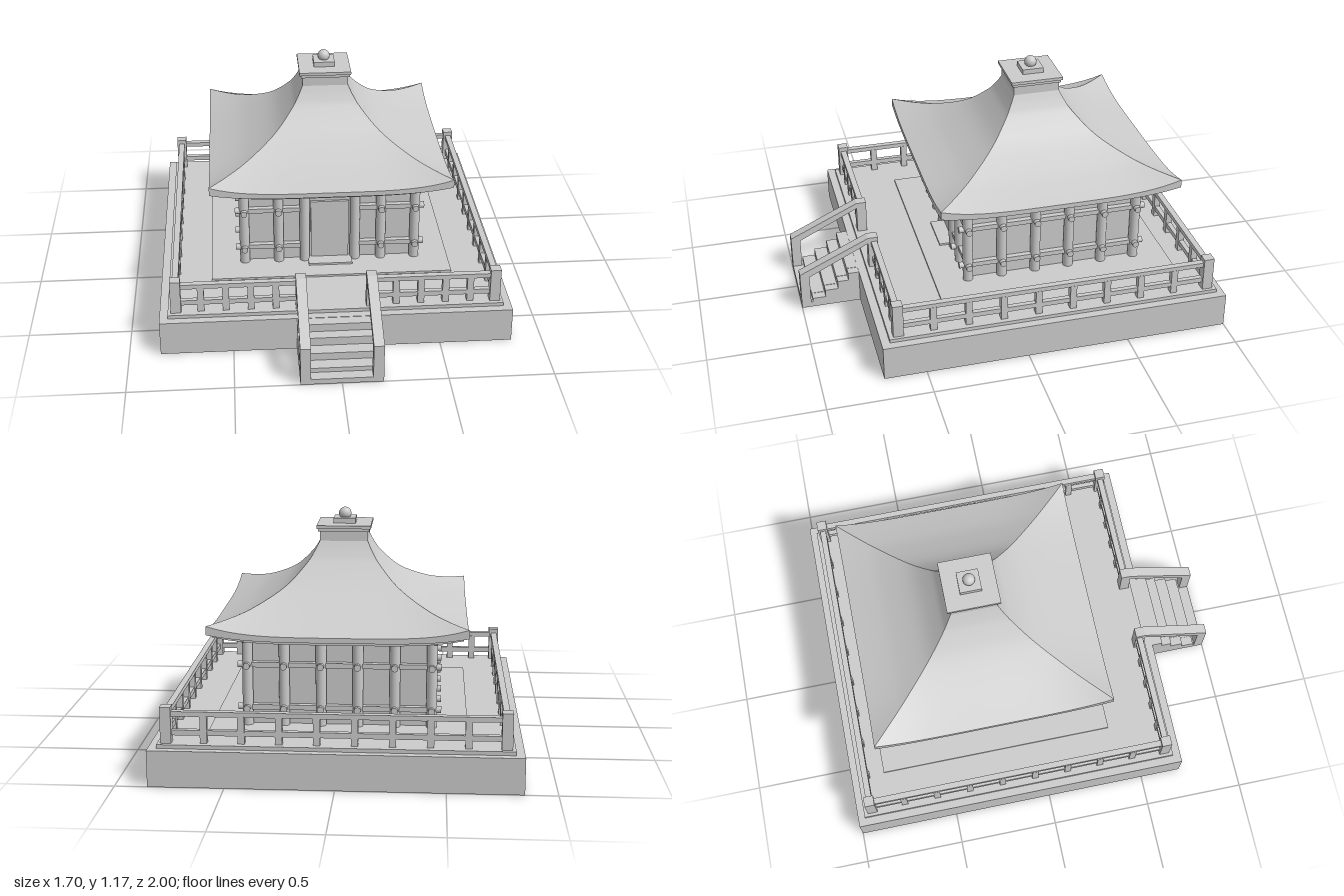
import * as THREE from 'three';
import { toCreasedNormals } from 'three/addons/utils/BufferGeometryUtils.js';

const grey = new THREE.MeshStandardMaterial({ color: 0xcccccc });

function add(parent, name, geometry, x = 0, y = 0, z = 0) {
  const mesh = new THREE.Mesh(geometry, grey);
  mesh.name = name;
  mesh.position.set(x, y, z);
  parent.add(mesh);
  return mesh;
}

// Box given by its extents along each axis
function block(parent, name, x0, x1, y0, y1, z0, z1) {
  return add(parent, name, new THREE.BoxGeometry(x1 - x0, y1 - y0, z1 - z0),
    (x0 + x1) / 2, (y0 + y1) / 2, (z0 + z1) / 2);
}

// Square rings [half width, height, corner lift] joined into one skin
function squareLoft(rings, perSide = 24) {
  const pos = [], index = [], n = perSide * 4;
  for (const [h, y, lift] of rings) {
    for (let i = 0; i < n; i++) {
      const s = (i % perSide) / perSide * 2 - 1;
      let x = s * h, z = h;
      for (let k = Math.floor(i / perSide); k > 0; k--) [x, z] = [z, -x];
      pos.push(x, y + lift * Math.pow(Math.abs(s), 4), z);
    }
  }
  for (let r = 0; r < rings.length - 1; r++) {
    for (let i = 0; i < n; i++) {
      const j = (i + 1) % n, a = r * n + i, b = r * n + j;
      index.push(a, a + n, b + n, a, b + n, b);
    }
  }
  const g = new THREE.BufferGeometry();
  g.setAttribute('position', new THREE.Float32BufferAttribute(pos, 3));
  g.setIndex(index);
  return toCreasedNormals(g, 0.5);
}

function roof() {
  const g = new THREE.Group();
  g.name = 'roof';
  // Smooth sweep from the neck to the upturned eave
  const sweep = new THREE.SplineCurve([[0.115, 1.02], [0.14, 0.97], [0.175, 0.918], [0.265, 0.826],
    [0.4, 0.742], [0.5, 0.697], [0.595, 0.662]].map(p => new THREE.Vector2(...p)));
  const rings = sweep.getPoints(28).map(p =>
    [p.x, p.y, 0.047 * Math.pow(Math.max(0, (p.x - 0.2) / 0.395), 2)]);
  // Stepped underside of the eave
  rings.push([0.595, 0.638, 0.03], [0.57, 0.638, 0.03], [0.57, 0.622, 0.03], [0.53, 0.626, 0.022],
    [0.53, 0.612, 0.022], [0.475, 0.628, 0.008], [0.455, 0.6, 0], [0.38, 0.6, 0]);
  add(g, 'roofSkin', squareLoft(rings));
  block(g, 'neck', -0.115, 0.115, 1.0, 1.07, -0.115, 0.115);
  block(g, 'capUnderside', -0.122, 0.122, 1.065, 1.08, -0.122, 0.122);
  block(g, 'cap', -0.13, 0.13, 1.08, 1.095, -0.13, 0.13);
  block(g, 'finialBlock', -0.053, 0.053, 1.095, 1.12, -0.053, 0.053);
  add(g, 'finialBall', new THREE.SphereGeometry(0.03, 24, 16), 0, 1.137, 0);
  return g;
}

function hall() {
  const g = new THREE.Group();
  g.name = 'hall';
  g.position.z = -0.232;
  block(g, 'floorSlab', -0.6, 0.6, 0.185, 0.2, -0.597, 0.597);
  block(g, 'walls', -0.415, 0.415, 0.19, 0.61, -0.415, 0.415);
  const column = new THREE.CylinderGeometry(0.025, 0.025, 0.42, 20);
  const knob = new THREE.CylinderGeometry(0.016, 0.016, 0.06, 14).rotateX(Math.PI / 2);

  for (let k = 0; k < 4; k++) {
    const side = new THREE.Group();
    side.name = 'wallSide';
    side.rotation.y = k * Math.PI / 2;
    g.add(side);
    const inner = k === 0 ? 0.127 : 0.086;
    for (const x of [-0.43, -0.258, -inner, inner, 0.258, 0.43]) {
      // The far corner column belongs to the next side
      if (x < 0.4) add(side, 'column', column, x, 0.4, 0.43);
      if (k === 0 && Math.abs(x) === inner) continue;
      for (const y of [0.285, 0.49]) add(side, 'beamKnob', knob, x, y, 0.445);
    }
    // Horizontal beams, broken at the doorway on the front
    const spans = k === 0 ? [[-0.43, -inner], [inner, 0.43]] : [[-0.43, 0.43]];
    for (const [a, b] of spans) {
      for (const y of [0.285, 0.49]) block(side, 'wallBeam', a, b, y - 0.012, y + 0.012, 0.41, 0.442);
    }
  }
  block(g, 'door', -0.095, 0.095, 0.21, 0.525, 0.41, 0.428);
  block(g, 'doorStep', -0.11, 0.11, 0.19, 0.21, 0.41, 0.5);
  g.add(roof());
  return g;
}

// Railing run along x with evenly spaced balusters
function railing(length, spans) {
  const g = new THREE.Group(), h = length / 2;
  g.name = 'railing';
  block(g, 'topRail', -h, h, 0.315, 0.338, -0.015, 0.015);
  block(g, 'lowerRail', -h, h, 0.225, 0.25, -0.012, 0.012);
  for (let i = 1; i < spans; i++) {
    const x = -h + length * i / spans;
    block(g, 'baluster', x - 0.016, x + 0.016, 0.185, 0.318, -0.016, 0.016);
  }
  return g;
}

function terrace() {
  const g = new THREE.Group();
  g.name = 'terrace';
  block(g, 'base', -0.85, 0.85, 0, 0.172, -1, 0.705);
  block(g, 'deck', -0.81, 0.81, 0.17, 0.19, -0.965, 0.665);
  const back = railing(1.54, 9);
  back.position.z = -0.92;
  g.add(back);
  for (const s of [-1, 1]) {
    const flank = railing(1.54, 9);
    flank.rotation.y = Math.PI / 2;
    flank.position.set(s * 0.77, 0, -0.15);
    const front = railing(0.6, 5);
    front.position.set(s * 0.47, 0, 0.62);
    g.add(flank, front);
    for (const z of [-0.92, 0.62]) {
      block(g, 'cornerPost', s * 0.77 - 0.025, s * 0.77 + 0.025, 0.185, 0.36, z - 0.025, z + 0.025);
    }
  }
  return g;
}

function stairs() {
  const g = new THREE.Group();
  g.name = 'stairs';
  block(g, 'stairPlinth', -0.195, 0.195, 0, 0.027, 0.7, 1);
  const steps = [[0.17, 0.76], [0.13, 0.815], [0.088, 0.88], [0.05, 0.945]];
  for (const [y, z] of steps) block(g, 'step', -0.15, 0.15, 0.02, y, 0.69, z);
  // Closed sides under the handrails follow the steps
  for (const [y, z] of steps) block(g, 'stairSide', -0.195, 0.195, 0, y - 0.002, 0.69, z - 0.001);
  // Sloping handrail drawn in z-y and extruded across x
  const slope = new THREE.Shape([[0.64, 0.36], [0.64, 0.335], [0.955, 0.178], [1, 0.178], [1, 0.197], [0.65, 0.36]]
    .map(p => new THREE.Vector2(-p[0], p[1])));
  const rail = new THREE.ExtrudeGeometry(slope, { depth: 0.05, bevelEnabled: false })
    .rotateY(Math.PI / 2).translate(-0.025, 0, 0);
  for (const s of [-1, 1]) {
    const x = s * 0.17;
    add(g, 'handrail', rail, x, 0, 0);
    block(g, 'upperPost', x - 0.025, x + 0.025, 0.17, 0.36, 0.6, 0.65);
    block(g, 'lowerPost', x - 0.025, x + 0.025, 0, 0.18, 0.953, 1);
  }
  return g;
}

export function createModel() {
  const model = new THREE.Group();
  model.name = 'pavilion';
  model.add(terrace(), stairs(), hall());
  return model;
}
